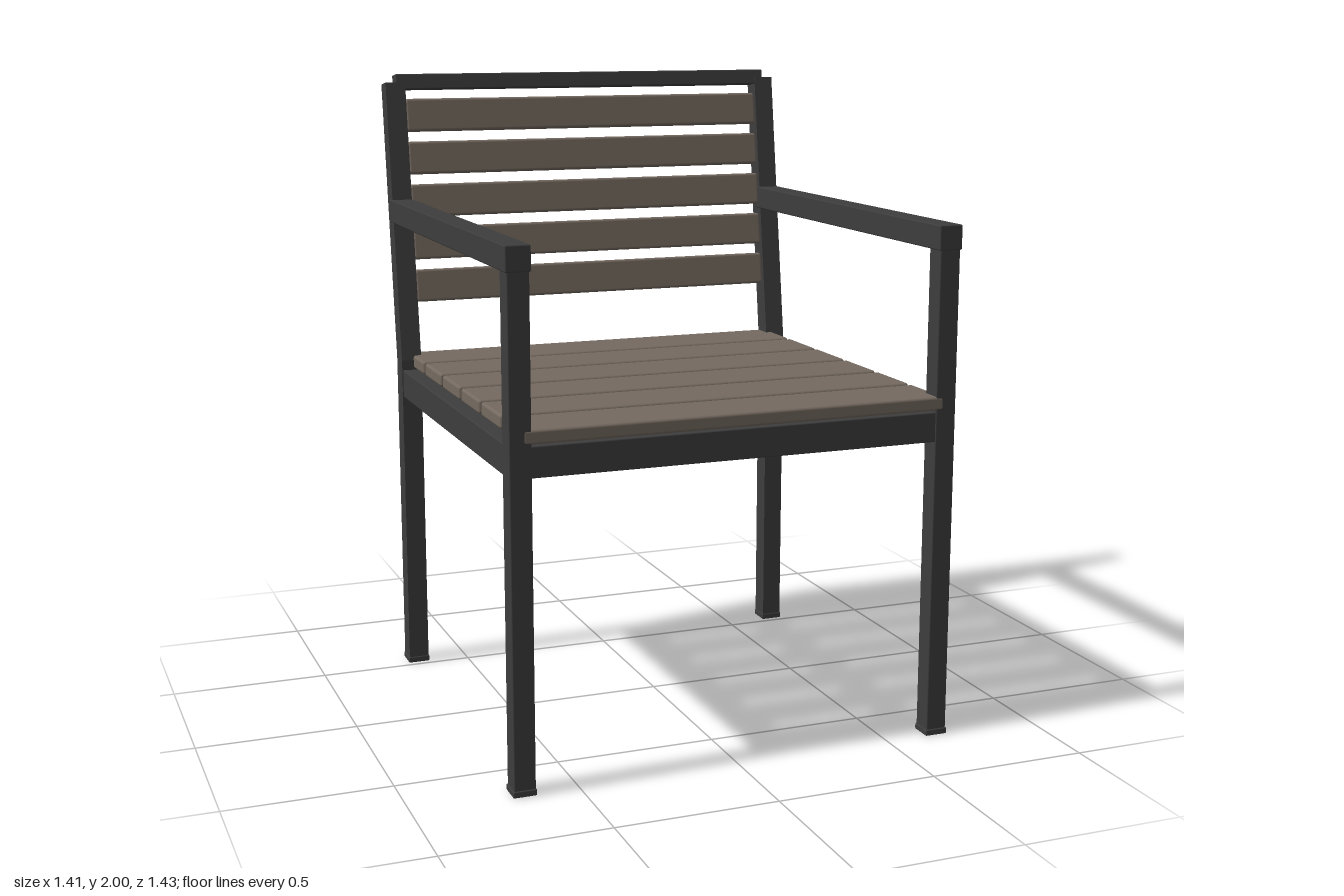
import * as THREE from 'three';
import { RoundedBoxGeometry } from 'three/addons/geometries/RoundedBoxGeometry.js';

export function createModel() {
  const chair = new THREE.Group();
  chair.name = 'armchair';

  const frame = new THREE.MeshStandardMaterial({ color: 0x3d3d3e });
  frame.name = 'dark metal';
  const wood = new THREE.MeshStandardMaterial({ color: 0x756a60 });
  wood.name = 'brown slat';

  // Softly rounded bar given by its size and centre
  function bar(name, material, size, centre, parent = chair, radius = 0.004) {
    const mesh = new THREE.Mesh(new RoundedBoxGeometry(...size, 2, radius), material);
    mesh.name = name;
    mesh.position.set(...centre);
    parent.add(mesh);
    return mesh;
  }

  // Rear leg and leaning back post as one bent profile, drawn in (-z, y)
  const profile = new THREE.Shape([
    [0.522, 0], [0.59, 0], [0.59, 1.055], [0.713, 1.965], [0.652, 1.974], [0.522, 1.06],
  ].map(([z, y]) => new THREE.Vector2(z, y)));
  const rearPost = new THREE.ExtrudeGeometry(profile, { depth: 0.066, bevelEnabled: false });
  rearPost.translate(0, 0, -0.033).rotateY(Math.PI / 2);

  // Legs, feet, arms and side rails
  for (const [side, s] of [['left', 1], ['right', -1]]) {
    const x = s * 0.667;
    const post = new THREE.Mesh(rearPost, frame);
    post.name = `${side}RearLegAndBackPost`;
    post.position.x = x;
    chair.add(post);

    bar(`${side}FrontLeg`, frame, [0.066, 1.53, 0.066], [x, 0.765, 0.679]);
    bar(`${side}FrontFoot`, frame, [0.072, 0.02, 0.072], [x, 0.01, 0.679]);
    bar(`${side}RearFoot`, frame, [0.072, 0.02, 0.072], [x, 0.01, -0.556]);
    bar(`${side}Arm`, frame, [0.075, 0.075, 1.34], [x, 1.552, 0.045]);
    bar(`${side}SeatRail`, frame, [0.06, 0.092, 1.18], [x, 0.981, 0.06]);
  }

  // Front and rear seat rails
  bar('frontSeatRail', frame, [1.29, 0.092, 0.06], [0, 0.981, 0.679]);
  bar('rearSeatRail', frame, [1.29, 0.092, 0.06], [0, 0.981, -0.556]);

  // Seat slats
  for (let i = 0; i < 6; i++) {
    bar(`seatSlat${i + 1}`, wood, [1.32, 0.043, 0.2], [0, 1.053, 0.613 - i * 0.2215], chair, 0.009);
  }

  // Backrest, leaning with the posts
  const back = new THREE.Group();
  back.name = 'backrest';
  back.position.set(0, 1.06, -0.556);
  back.rotation.x = -Math.atan2(0.126, 0.91);
  chair.add(back);
  const stretch = 1 / Math.cos(back.rotation.x);
  for (let i = 0; i < 5; i++) {
    const y = (1.3 + i * 0.1408 - 1.06) * stretch;
    bar(`backSlat${i + 1}`, wood, [1.268, 0.108, 0.044], [0, y, 0], back, 0.009);
  }
  bar('topRail', frame, [1.33, 0.05, 0.05], [0, 0.921, 0.003], back);

  return chair;
}
